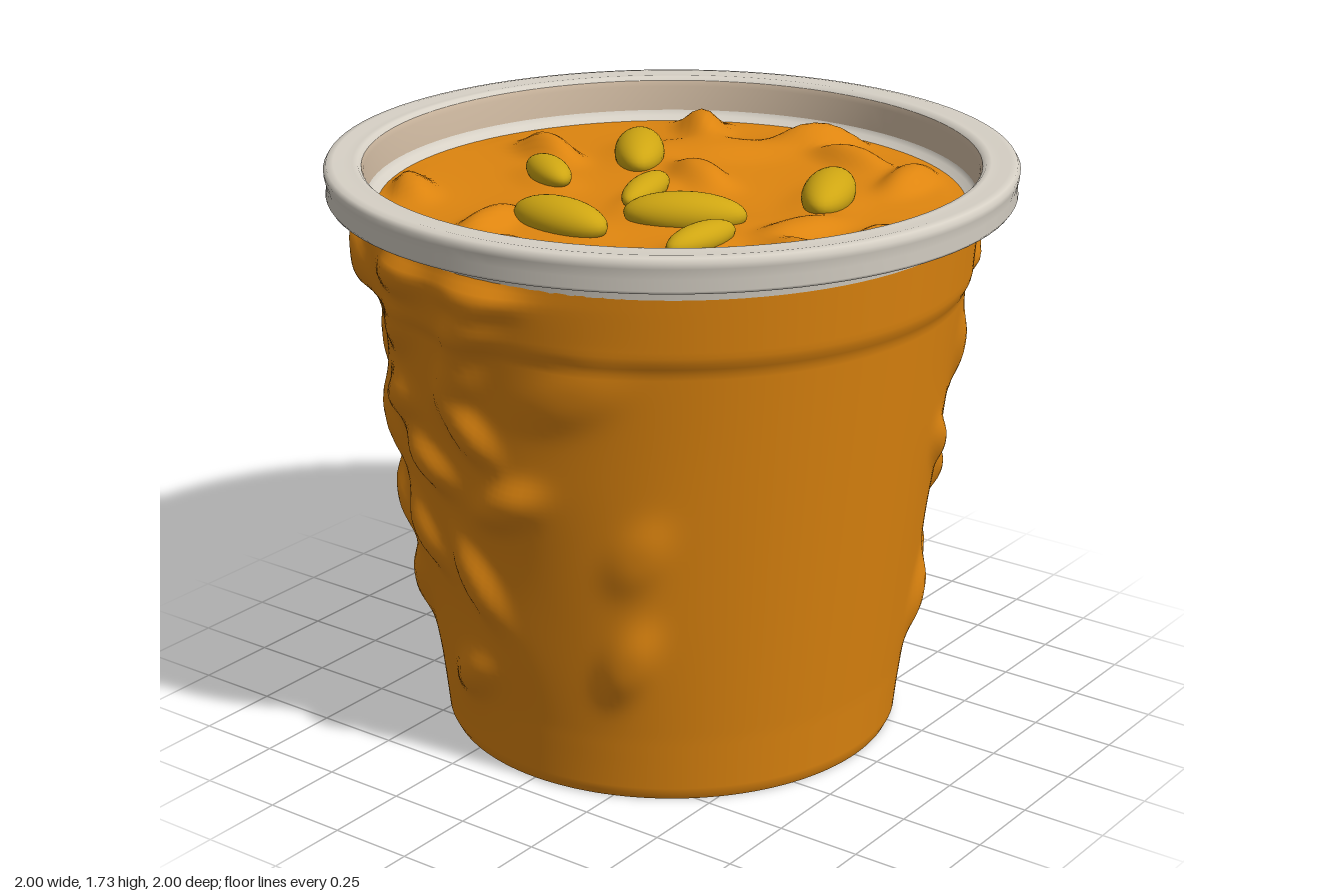
import * as THREE from 'three';
import { mergeVertices } from 'three/addons/utils/BufferGeometryUtils.js';

const V2 = (p) => new THREE.Vector2(p[0], p[1]);
const mat = (name, color, extra = {}) => {
  const m = new THREE.MeshStandardMaterial({ color, ...extra });
  m.name = name;
  return m;
};

// Raised lumps on the wall: x, y, tilt in degrees, half length, half width, height
const WALL_LUMPS = [
  [-0.62, 1.50, -30, 0.12, 0.06, 0.05], [-0.32, 1.52, 10, 0.13, 0.06, 0.045],
  [0.00, 1.53, 5, 0.13, 0.05, 0.04], [-0.05, 1.41, 35, 0.12, 0.06, 0.045],
  [-0.64, 1.40, 10, 0.10, 0.05, 0.04], [-0.40, 1.33, 30, 0.11, 0.06, 0.03],
  [-0.12, 1.25, 50, 0.12, 0.06, 0.04], [0.25, 1.27, 25, 0.16, 0.08, 0.02],
  [-0.70, 1.17, -65, 0.12, 0.06, 0.035], [-0.09, 1.10, -45, 0.10, 0.06, 0.045],
  [-0.43, 1.10, 15, 0.11, 0.06, 0.045], [-0.55, 0.98, -65, 0.12, 0.055, 0.045],
  [-0.29, 0.95, -20, 0.12, 0.06, 0.05], [0.02, 0.90, 30, 0.12, 0.06, 0.05],
  [-0.74, 0.93, -50, 0.09, 0.05, 0.03], [-0.56, 0.72, -45, 0.12, 0.06, 0.05],
  [-0.37, 0.69, -35, 0.12, 0.06, 0.045], [-0.13, 0.62, -60, 0.13, 0.06, 0.045],
  [0.38, 0.79, 60, 0.12, 0.07, 0.025], [0.33, 0.45, 65, 0.13, 0.065, 0.04],
  [-0.65, 0.41, 75, 0.11, 0.06, 0.04], [-0.52, 0.45, 65, 0.12, 0.06, 0.045],
  [-0.20, 0.29, 35, 0.11, 0.06, 0.04],
];

// Lumps on the filling: x, z, angle in degrees, half length, half width, height
const TOP_LUMPS = [
  [-0.33, -0.61, 50, 0.14, 0.06, 0.07], [0.04, -0.69, -50, 0.12, 0.07, 0.07],
  [0.25, -0.57, 10, 0.13, 0.06, 0.06], [0.49, -0.50, 80, 0.14, 0.06, 0.05],
  [-0.55, -0.12, 25, 0.13, 0.06, 0.07], [-0.02, -0.17, 30, 0.13, 0.07, 0.06],
  [-0.16, -0.45, -30, 0.20, 0.10, 0.03], [0.73, 0.06, 80, 0.14, 0.06, 0.05],
  [0.64, 0.27, 10, 0.12, 0.06, 0.05], [0.47, 0.53, -20, 0.13, 0.06, 0.05],
  [-0.65, 0.40, 35, 0.13, 0.06, 0.05], [-0.23, 0.55, 80, 0.14, 0.06, 0.05],
  [0.01, 0.73, 15, 0.14, 0.06, 0.06], [0.51, 0.10, 100, 0.14, 0.07, 0.04],
];

// Seeds: centre x, z, angle in degrees, length, width
const SEEDS = [
  [-0.29, -0.23, 54, 0.33, 0.15], [0.41, -0.20, 66, 0.34, 0.15],
  [-0.375, 0.10, 29, 0.23, 0.11], [-0.035, 0.08, 75, 0.28, 0.10],
  [0.20, 0.21, -29, 0.35, 0.15], [0.37, 0.37, 94, 0.27, 0.105],
  [-0.05, 0.455, 2, 0.32, 0.15],
];

// Steep-sided oval lump with a soft skirt
function lump(u, v, tilt, len, wid, h) {
  const a = THREE.MathUtils.degToRad(tilt);
  const p = (u * Math.cos(a) + v * Math.sin(a)) / len;
  const q = (v * Math.cos(a) - u * Math.sin(a)) / wid;
  const d = p * p + q * q;
  return h * (0.8 * Math.exp(-Math.pow(d, 1.4)) + 0.2 * Math.exp(-d / 4));
}

// Lathe with a displacement rule and a welded seam
function sculptedLathe(points, segments, move) {
  let g = new THREE.LatheGeometry(points, segments);
  const pos = g.attributes.position, v = new THREE.Vector3();
  for (let i = 0; i < pos.count; i++) {
    v.fromBufferAttribute(pos, i);
    move(v);
    pos.setXYZ(i, v.x, v.y, v.z);
  }
  g.deleteAttribute('uv');
  g.deleteAttribute('normal');
  g = mergeVertices(g, 1e-5);
  g.computeVertexNormals();
  return g;
}

// Wall radius at a height: taper, small step, upper collar
const WALL = [[0.672, 0], [0.682, 0.02], [0.70, 0.2], [0.848, 1.36], [0.868, 1.40], [0.887, 1.585]];
function wallRadius(y) {
  for (let i = 1; i < WALL.length; i++) {
    const [r0, y0] = WALL[i - 1], [r1, y1] = WALL[i];
    if (y <= y1) return r0 + (r1 - r0) * Math.max(0, (y - y0) / (y1 - y0));
  }
  return WALL[WALL.length - 1][0];
}

export function createModel() {
  const model = new THREE.Group();
  const orange = mat('orange filling', 0xde850f);
  const plastic = mat('pale plastic', 0xd6d0c5);
  const tan = mat('stained inner wall', 0xd3bda4);
  const yellow = mat('yellow seed', 0xcfa612);
  const add = (name, geometry, material) => {
    const m = new THREE.Mesh(geometry, material);
    m.name = name;
    model.add(m);
    return m;
  };

  // Cup wall: the lumps repeat after half a turn
  const rows = [new THREE.Vector2(0.672, 0), new THREE.Vector2(0.682, 0.02)];
  for (let i = 1; i <= 90; i++) {
    const y = 0.02 + (1.565 * i) / 90;
    rows.push(new THREE.Vector2(wallRadius(y), y));
  }
  add('cupWall', sculptedLathe(rows, 220, (v) => {
    const r = Math.hypot(v.x, v.z), phi = Math.atan2(v.x, v.z);
    let out = 0;
    for (const [x, y, ...shape] of WALL_LUMPS) {
      let d = phi - Math.asin(x / wallRadius(y));
      d -= Math.PI * Math.round(d / Math.PI);
      out += lump(d * r, v.y - y, ...shape);
    }
    out *= Math.min(1, v.y / 0.15, Math.max(0, 1.585 - v.y) / 0.04);
    v.x *= 1 + out / r;
    v.z *= 1 + out / r;
  }), orange);

  // Flat underside
  const base = add('cupBase', new THREE.CircleGeometry(0.672, 96), orange);
  base.rotation.x = Math.PI / 2;

  // Collar and overhanging rim
  const rim = [[0.887, 1.58], [0.892, 1.62], [0.897, 1.655], [0.91, 1.665], [0.95, 1.66],
    [0.963, 1.635], [0.972, 1.63], [0.988, 1.631], [0.994, 1.64], [0.99, 1.67], [0.997, 1.70],
    [0.998, 1.715], [0.99, 1.728], [0.97, 1.731], [0.94, 1.726], [0.915, 1.729],
    [0.90, 1.728], [0.89, 1.718]];
  add('rim', new THREE.LatheGeometry(rim.map(V2), 96), plastic);

  // Inner wall and the ledge around the filling
  add('innerWall', new THREE.LatheGeometry([[0.89, 1.718], [0.885, 1.70], [0.88, 1.625]].map(V2), 96), tan);
  add('innerLedge', new THREE.LatheGeometry([[0.88, 1.625], [0.872, 1.61], [0.835, 1.59]].map(V2), 96), plastic);

  // Lumpy filling surface
  const disc = [];
  for (let i = 0; i <= 60; i++) disc.push(new THREE.Vector2(0.85 * (1 - i / 60), 1.598));
  add('filling', sculptedLathe(disc, 160, (v) => {
    let up = 0;
    for (const [x, z, ...shape] of TOP_LUMPS) up += lump(v.x - x, v.z - z, ...shape);
    for (const [x, z, a, len, wid] of SEEDS) up += lump(v.x - x, v.z - z, a, len * 0.6, wid * 0.7, 0.02);
    v.y += up * Math.min(1, (0.85 - Math.hypot(v.x, v.z)) / 0.06);
  }), orange);

  // Seeds resting in the filling
  const seedShape = new THREE.SphereGeometry(1, 28, 18);
  SEEDS.forEach(([x, z, a, len, wid]) => {
    const seed = add('seed', seedShape, yellow);
    seed.position.set(x, 1.635, z);
    seed.scale.set(len / 2, wid * 0.42, wid / 2);
    seed.rotation.y = -THREE.MathUtils.degToRad(a);
  });
  return model;
}
